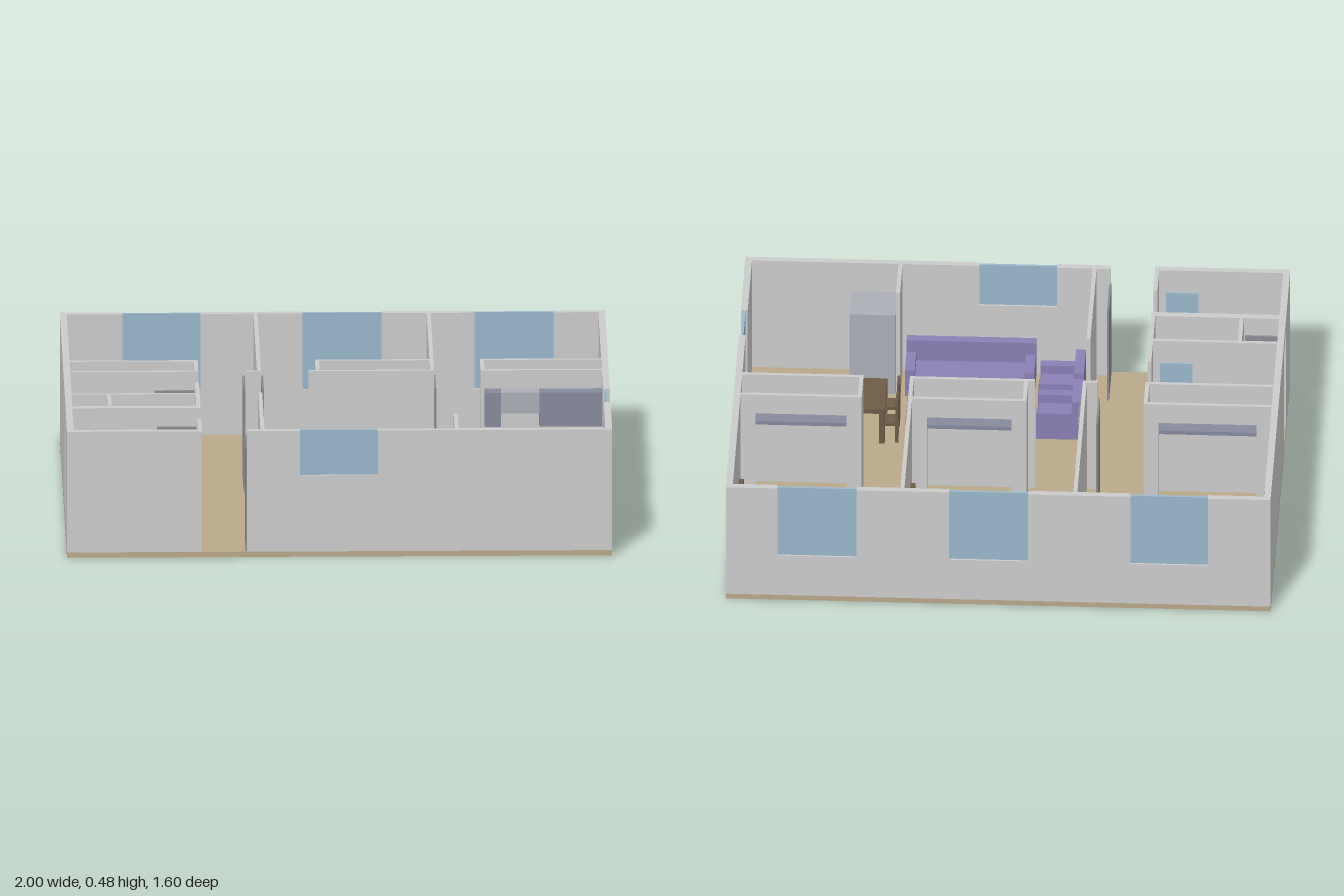
import * as THREE from 'three';

const GREY = 0xcccccc, FLOOR = 0xb9a98a, GLASS = 0x9ab8cc, PURPLE = 0x8a7fb5;
const BROWN = 0x6c5b46, DOOR = 0x8c8c94, SLATE = 0x868a9c, STEEL = 0xacaeb7;
const F = 0.02, H = 0.48, T = 0.025, t = 0.015; // floor top, wall top, wall thicknesses

const materials = {};
const mat = (color) => (materials[color] ??= new THREE.MeshStandardMaterial({ color }));

function group(parent, name, x = 0, z = 0) {
  const g = new THREE.Group();
  g.name = name;
  g.position.set(x, 0, z);
  parent.add(g);
  return g;
}

// Box given by its limits on each axis
function box(parent, name, [x0, x1], [y0, y1], [z0, z1], color = GREY) {
  const m = new THREE.Mesh(new THREE.BoxGeometry(x1 - x0, y1 - y0, z1 - z0), mat(color));
  m.name = name;
  m.position.set((x0 + x1) / 2, (y0 + y1) / 2, (z0 + z1) / 2);
  parent.add(m);
  return m;
}

function round(parent, name, x, z, [y0, y1], rTop, rBottom, color = GREY) {
  const m = new THREE.Mesh(new THREE.CylinderGeometry(rTop, rBottom, y1 - y0, 24), mat(color));
  m.name = name;
  m.position.set(x, (y0 + y1) / 2, z);
  parent.add(m);
}

// Wall along an axis; each opening is [start, end, bottom, top, glazed]
function wall(parent, axis, [a, b], [c, d], openings = []) {
  const put = (name, u, y, v, color) =>
    axis === 'x' ? box(parent, name, u, y, v, color) : box(parent, name, v, y, u, color);
  let at = a;
  const mid = (c + d) / 2;
  for (const [s, e, y0, y1, glazed] of openings) {
    if (s > at) put('wall', [at, s], [F, H], [c, d]);
    if (y0 > F) put('windowSill', [s, e], [F, y0], [c, d]);
    if (y1 < H) put('doorHeader', [s, e], [y1, H], [c, d]);
    if (glazed) put('windowPane', [s, e], [y0, y1], [mid - 0.005, mid + 0.005], GLASS);
    at = e;
  }
  if (b > at) put('wall', [at, b], [F, H], [c, d]);
}

// Open tray with a rim, used for tubs and sinks
function basin(parent, name, [x0, x1], [y0, y1], [z0, z1], rim, depth, color = GREY) {
  const s = new THREE.Shape();
  s.moveTo(x0, -z0).lineTo(x0, -z1).lineTo(x1, -z1).lineTo(x1, -z0).closePath();
  const w = x1 - x0 - 2 * rim, l = z1 - z0 - 2 * rim, r = Math.min(w, l) * 0.2;
  const cx = (x0 + x1) / 2, cz = -(z0 + z1) / 2, hole = new THREE.Path();
  for (const [sx, sz, k] of [[1, 1, 0], [-1, 1, 1], [-1, -1, 2], [1, -1, 3]])
    hole.absarc(cx + sx * (w / 2 - r), cz + sz * (l / 2 - r), r, k * Math.PI / 2, (k + 1) * Math.PI / 2);
  s.holes.push(hole);
  const m = new THREE.Mesh(new THREE.ExtrudeGeometry(s, { depth: y1 - y0, bevelEnabled: false, curveSegments: 4 }), mat(color));
  m.rotation.x = -Math.PI / 2;
  m.position.y = y0;
  m.name = name;
  parent.add(m);
  box(parent, name + 'Bottom', [x0 + rim / 2, x1 - rim / 2], [y0, y1 - depth], [z0 + rim / 2, z1 - rim / 2], color);
}

// Bed with its head towards -x; dir = -1 turns it round
function bed(parent, x, dir) {
  const g = group(parent, 'bed', x, -0.467);
  if (dir < 0) g.rotation.y = Math.PI;
  box(g, 'headboard', [0, 0.018], [F, 0.22], [-0.143, 0.143], BROWN);
  box(g, 'bedBase', [0.018, 0.375], [F, 0.065], [-0.14, 0.14], BROWN);
  box(g, 'mattress', [0.018, 0.38], [0.065, 0.14], [-0.143, 0.143], PURPLE);
  for (const z of [-0.067, 0.067]) box(g, 'pillow', [0.04, 0.105], [0.14, 0.16], [z - 0.056, z + 0.056]);
}

// Seat facing +z, centred on its own origin
function sofa(parent, name, x, z, w, turn = 0) {
  const g = group(parent, name, x, z), d = 0.083, a = 0.036;
  g.rotation.y = turn;
  box(g, 'seatBase', [-w / 2 + a, w / 2 - a], [F, 0.07], [-d + a, d], PURPLE);
  box(g, 'seatCushion', [-w / 2 + a, w / 2 - a], [0.07, 0.095], [-d + a, d - 0.005], PURPLE);
  box(g, 'backrest', [-w / 2, w / 2], [F, 0.18], [-d, -d + a], PURPLE);
  for (const s of [-1, 1])
    box(g, 'armrest', s < 0 ? [-w / 2, -w / 2 + a] : [w / 2 - a, w / 2], [F, 0.13], [-d + a, d], PURPLE);
}

function table(parent, name, [x0, x1], h, [z0, z1]) {
  const g = group(parent, name), l = 0.02;
  box(g, 'tableTop', [x0, x1], [h - 0.018, h], [z0, z1], BROWN);
  for (const x of [x0, x1 - l]) for (const z of [z0, z1 - l])
    box(g, 'tableLeg', [x, x + l], [F, h - 0.018], [z, z + l], BROWN);
}

function chair(parent, x, z) {
  const g = group(parent, 'diningChair', x, z);
  box(g, 'chairSeat', [0, 0.065], [0.09, 0.102], [-0.032, 0.032], BROWN);
  box(g, 'chairBack', [0, 0.01], [0.102, 0.2], [-0.032, 0.032], BROWN);
  for (const lx of [0, 0.053]) for (const lz of [-0.032, 0.02])
    box(g, 'chairLeg', [lx, lx + 0.012], [F, 0.09], [lz, lz + 0.012], BROWN);
}

// Bathroom fittings; z is the wall behind toilet and vanity
function bathroom(parent, z) {
  const g = group(parent, 'bathroom', 0, z);
  basin(g, 'bathtub', [-0.97, -0.84], [F, 0.12], [-0.275, 0], 0.014, 0.07);
  box(g, 'toiletTank', [-0.805, -0.72], [0.07, 0.17], [-0.04, 0]);
  round(g, 'toiletBowl', -0.765, -0.072, [F, 0.1], 0.038, 0.024);
  box(g, 'vanity', [-0.69, -0.52], [F, 0.165], [-0.112, 0]);
  round(g, 'washbasin', -0.605, -0.053, [0.165, 0.172], 0.032, 0.032, STEEL);
  box(g, 'faucet', [-0.609, -0.601], [0.165, 0.195], [-0.02, -0.012], STEEL);
  box(g, 'mirror', [-0.665, -0.545], [0.24, 0.39], [-0.008, 0], GLASS);
}

export function createModel() {
  const model = new THREE.Group();
  model.name = 'apartment';
  box(model, 'floor', [-1, 1], [0, F], [-0.8, 0.8], FLOOR);

  // Outer walls
  const outer = group(model, 'outerWalls');
  wall(outer, 'x', [-1, 1], [-0.8, -0.8 + T],
    [[-0.77, -0.485, 0.19, H, 1], [-0.11, 0.18, 0.19, H, 1], [0.52, 0.81, 0.19, H, 1]]);
  wall(outer, 'x', [-1, 1], [0.8 - T, 0.8], [[-0.505, -0.34, F, H], [-0.145, 0.14, 0.31, H, 1]]);
  wall(outer, 'z', [-0.8 + T, 0.8 - T], [-1, -1 + T], [[0.31, 0.45, F, 0.43]]);
  wall(outer, 'z', [-0.8 + T, 0.8 - T], [1 - T, 1], [[0.257, 0.43, 0.19, H, 1]]);

  // Inner walls
  const inner = group(model, 'innerWalls');
  wall(inner, 'z', [-0.775, 0], [-0.29, -0.275]);
  wall(inner, 'z', [-0.775, 0], [0.345, 0.36]);
  wall(inner, 'x', [-0.33, -0.29], [-t, 0]);
  wall(inner, 'x', [-0.1, -0.075], [-t, 0]);
  wall(inner, 'z', [0.285, 0.775], [-0.29, -0.275]);
  wall(inner, 'z', [0.575, 0.775], [0.422, 0.437]);
  wall(inner, 'z', [0.14, 0.485], [-0.52, -0.505], [[0.315, 0.45, F, 0.41]]);
  wall(inner, 'z', [0.635, 0.775], [-0.52, -0.505]);
  wall(inner, 'x', [-0.975, -0.52], [0.285, 0.3]);
  wall(inner, 'x', [-0.975, -0.52], [0.457, 0.485]);
  wall(inner, 'z', [0.3, 0.457], [-0.845, -0.83]);

  // Closets with a wide opening and a high shelf
  for (const [x0, x1, left, right] of [[-0.975, -0.505, 0, 1], [-0.075, 0.345, 1, 0], [0.53, 0.975, 1, 0]]) {
    const g = group(model, 'closet');
    wall(g, 'x', [x0, x1], [-0.155, -0.14], [[x0 + 0.055, x1 - 0.055, F, 0.4]]);
    wall(g, 'x', [x0, x1], [-t, 0]);
    if (left) wall(g, 'z', [-0.14, -t], [x0, x0 + t]);
    if (right) wall(g, 'z', [-0.14, -t], [x1 - t, x1]);
    box(g, 'closetShelf', [x0 + 0.02, x1 - 0.025], [0.335, 0.35], [-0.128, -0.035], SLATE);
  }

  // Doors standing open
  const doors = group(model, 'doors');
  for (const [x, z0, z1] of [[-0.335, -0.19, -0.01], [-0.268, -0.19, -0.01], [0.364, -0.19, -0.01], [-0.34, 0.6, 0.79]])
    box(doors, 'door', [x - 0.004, x + 0.004], [F, 0.41], [z0, z1], DOOR);
  for (const [x0, x1, z] of [[-0.665, -0.52, 0.005], [-0.665, -0.52, 0.493], [-0.975, -0.85, 0.448]])
    box(doors, 'door', [x0, x1], [F, 0.41], [z - 0.004, z + 0.004], DOOR);

  // Bedrooms
  bed(model, -0.973, 1);
  bed(model, 0.343, -1);
  bed(model, 0.973, -1);

  // Bathrooms and laundry
  bathroom(model, 0.283);
  bathroom(model, 0.77);
  round(model, 'waterHeater', -0.912, 0.378, [F, 0.32], 0.053, 0.053, STEEL);
  for (const x of [-0.82, -0.722]) {
    box(model, 'washer', [x, x + 0.084], [F, 0.17], [0.315, 0.45], STEEL);
    box(model, 'washerPanel', [x, x + 0.084], [0.17, 0.195], [0.435, 0.45], STEEL);
  }

  // Living and dining area
  sofa(model, 'sofa', 0.168, 0.682, 0.475, Math.PI);
  sofa(model, 'armchair', -0.172, 0.407, 0.165, Math.PI / 2);
  sofa(model, 'armchair', -0.172, 0.61, 0.165, Math.PI / 2);
  table(model, 'coffeeTable', [0.01, 0.235], 0.09, [0.338, 0.48]);
  table(model, 'diningTable', [0.465, 0.665], 0.165, [0.267, 0.485]);
  for (const z of [0.308, 0.42]) chair(model, 0.415, z);

  // Kitchen
  const k = group(model, 'kitchen');
  for (const x of [[0.545, 0.605], [0.745, 0.975]]) {
    box(k, 'baseCabinet', x, [F, 0.175], [0, 0.115]);
    box(k, 'upperCabinet', x, [0.28, 0.41], [0, 0.055], SLATE);
  }
  box(k, 'stove', [0.607, 0.743], [F, 0.177], [0, 0.118], SLATE);
  box(k, 'rangeHood', [0.605, 0.745], [0.33, 0.41], [0, 0.055], STEEL);
  box(k, 'sideCabinet', [0.86, 0.975], [F, 0.175], [0.115, 0.3]);
  box(k, 'sideCabinet', [0.86, 0.975], [F, 0.175], [0.42, 0.485]);
  box(k, 'sinkCabinet', [0.86, 0.875], [F, 0.175], [0.3, 0.42]);
  box(k, 'sinkCabinet', [0.95, 0.975], [F, 0.175], [0.3, 0.42]);
  basin(k, 'sink', [0.875, 0.95], [0.12, 0.175], [0.3, 0.42], 0.005, 0.045, SLATE);
  box(k, 'faucet', [0.955, 0.963], [0.175, 0.21], [0.356, 0.364], STEEL);
  box(k, 'dishwasher', [0.852, 0.86], [0.03, 0.165], [0.17, 0.285], STEEL);
  box(k, 'refrigerator', [0.44, 0.61], [F, 0.36], [0.61, 0.772], STEEL);
  return model;
}
